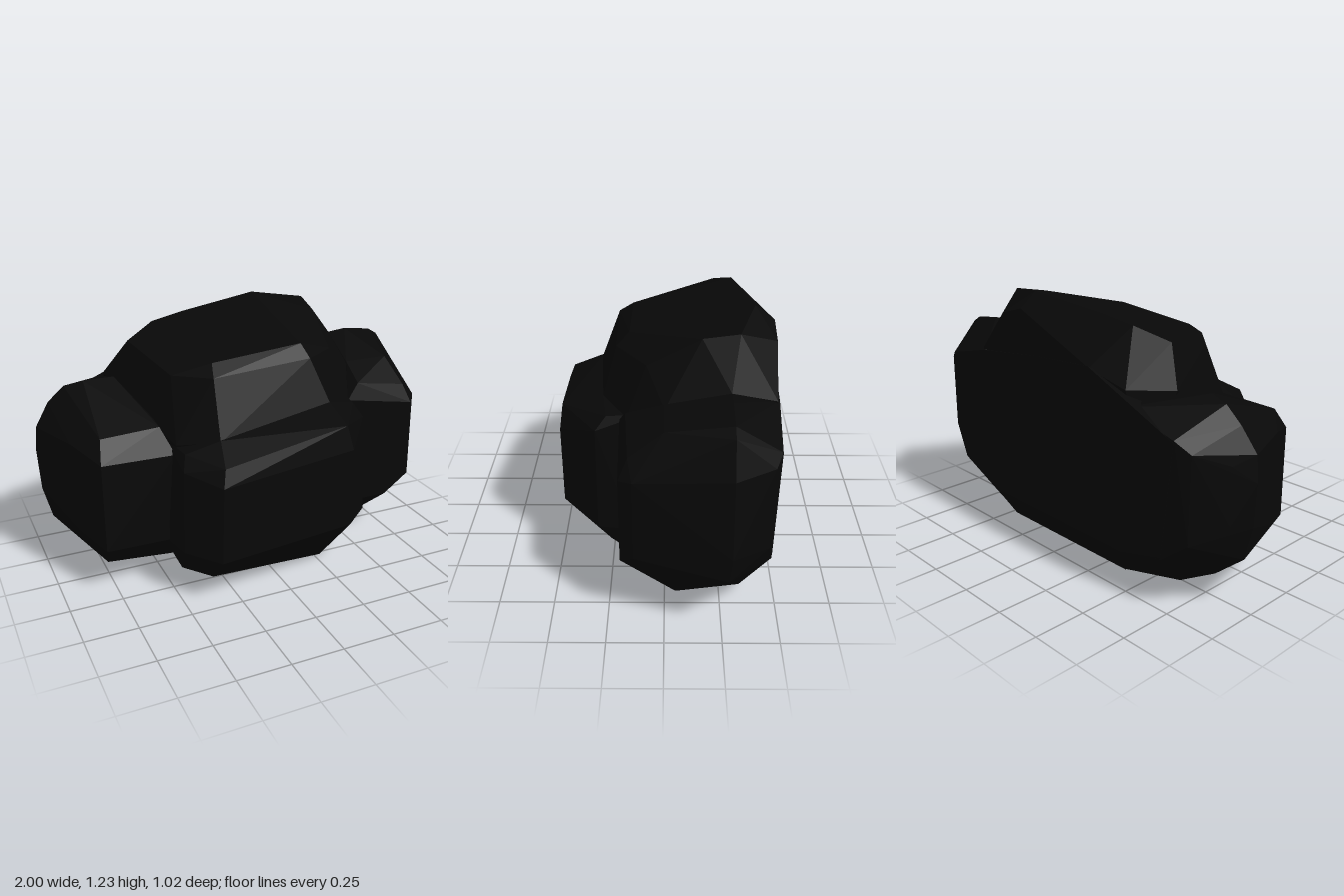
import * as THREE from 'three';
import { ConvexGeometry } from 'three/addons/geometries/ConvexGeometry.js';

const stone = new THREE.MeshStandardMaterial({ color: 0x080808, flatShading: true });

// One chipped boulder: the hull of a few corner points [x, y, z]
function boulder(name, corners) {
  const geometry = new ConvexGeometry(corners.map((c) => new THREE.Vector3(...c)));
  const mesh = new THREE.Mesh(geometry, stone);
  mesh.name = name;
  return mesh;
}

export function createModel() {
  const group = new THREE.Group();
  group.name = 'rockCluster';

  // Block standing out at the front, sloping back underneath
  group.add(boulder('frontRock', [
    [-0.35, 0.23, 0.51], [-0.34, 0.60, 0.51], [-0.32, 0.68, 0.48],
    [0.32, 0.27, 0.485], [0.32, 0.66, 0.485], [0.29, 0.78, 0.47],
    [-0.48, 0.24, 0.36], [-0.47, 0.64, 0.36], [-0.44, 0.70, 0.30],
    [0.50, 0.24, 0.31], [0.47, 0.74, 0.31], [0.44, 0.80, 0.26],
    [0.30, 0.83, 0.28], [-0.28, 0.75, 0.33],
    [-0.50, 0.22, 0.15], [-0.46, 0.70, 0.10], [0.51, 0.23, 0.15], [0.46, 0.82, 0.10],
    [-0.30, 0.01, 0.26], [0.28, 0.00, 0.27], [-0.42, 0.03, 0.15], [0.42, 0.02, 0.15],
    [-0.40, 0.03, -0.38], [0.40, 0.03, -0.38],
  ]));

  // Crown resting on top, rising to the back and chipped away behind
  group.add(boulder('topRock', [
    [-0.28, 0.74, 0.33], [0.30, 0.83, 0.28], [-0.45, 0.71, 0.21], [0.47, 0.80, 0.17],
    [-0.27, 1.01, 0.23], [0.22, 1.04, 0.22], [-0.25, 1.06, 0.16], [0.20, 1.10, 0.16],
    [-0.42, 1.00, 0.08], [0.40, 1.03, 0.08], [0.56, 0.90, 0.00],
    [-0.52, 1.09, -0.25], [-0.37, 1.15, -0.33], [-0.20, 1.18, -0.35],
    [0.20, 1.23, -0.40], [0.45, 1.20, -0.32], [0.43, 1.17, -0.16],
    [-0.63, 0.92, -0.33], [-0.56, 0.90, -0.18], [0.60, 1.00, -0.28],
    [-0.48, 0.92, -0.48], [-0.28, 0.98, -0.505], [0.10, 0.96, -0.50],
    [0.20, 1.16, -0.49], [0.34, 1.12, -0.49], [0.52, 0.92, -0.485],
    [-0.55, 0.60, -0.45], [0.55, 0.60, -0.45], [-0.40, 0.50, 0.15], [0.40, 0.50, 0.15],
  ]));

  // Shoulder on the -x side
  group.add(boulder('rightRock', [
    [-0.80, 0.24, 0.21], [-0.80, 0.67, 0.21], [-0.45, 0.23, 0.20], [-0.45, 0.66, 0.20],
    [-0.78, 0.77, 0.14], [-0.50, 0.78, 0.13], [-0.88, 0.28, 0.02], [-0.89, 0.72, 0.02],
    [-0.75, 0.92, -0.25], [-0.60, 0.92, -0.25], [-0.84, 0.90, -0.27], [-0.92, 0.83, -0.27],
    [-0.99, 0.72, -0.25], [-1.00, 0.60, -0.25], [-0.99, 0.40, -0.25], [-0.95, 0.24, -0.25],
    [-0.94, 0.68, -0.34], [-0.94, 0.42, -0.34], [-0.85, 0.74, -0.48], [-0.84, 0.34, -0.48],
    [-0.78, 0.79, -0.51], [-0.50, 0.86, -0.51], [-0.70, 0.23, -0.49], [-0.45, 0.18, -0.48],
    [-0.75, 0.06, 0.00], [-0.70, 0.04, -0.05], [-0.40, 0.03, 0.00],
    [-0.84, 0.15, -0.30], [-0.66, 0.05, -0.32], [-0.40, 0.03, -0.40],
  ]));

  // Shoulder on the +x side, a little taller and falling away behind
  group.add(boulder('leftRock', [
    [0.84, 0.32, 0.19], [0.83, 0.72, 0.19], [0.45, 0.23, 0.20], [0.45, 0.79, 0.20],
    [0.70, 0.23, 0.20], [0.80, 0.81, 0.15], [0.52, 0.86, 0.17], [0.88, 0.36, 0.13],
    [0.88, 0.74, 0.13], [0.55, 0.92, 0.00], [0.78, 0.92, 0.00],
    [0.60, 1.00, -0.28], [0.70, 1.01, -0.28], [0.85, 0.99, -0.28], [0.90, 0.96, -0.28],
    [0.96, 0.80, -0.28], [0.97, 0.70, -0.28], [1.00, 0.45, -0.28], [0.98, 0.32, -0.27],
    [0.86, 0.80, -0.45], [0.88, 0.42, -0.44], [0.80, 0.84, -0.48], [0.50, 0.91, -0.49],
    [0.76, 0.27, -0.47], [0.45, 0.18, -0.48],
    [0.75, 0.07, -0.05], [0.70, 0.04, -0.03], [0.42, 0.02, 0.00],
    [0.68, 0.05, -0.34], [0.42, 0.03, -0.40],
  ]));

  // Broad flat back joining all the rocks
  group.add(boulder('backSlab', [
    [-0.78, 0.78, -0.512], [-0.28, 0.99, -0.512], [0.10, 0.96, -0.503], [0.50, 0.91, -0.495],
    [0.79, 0.83, -0.482], [0.75, 0.28, -0.473], [0.45, 0.17, -0.483], [-0.45, 0.17, -0.485],
    [-0.70, 0.24, -0.492], [-0.40, 0.03, -0.405], [0.42, 0.03, -0.405],
    [-0.65, 0.80, -0.20], [0.65, 0.85, -0.20], [-0.60, 0.15, -0.20], [0.60, 0.15, -0.20],
  ]));

  return group;
}
